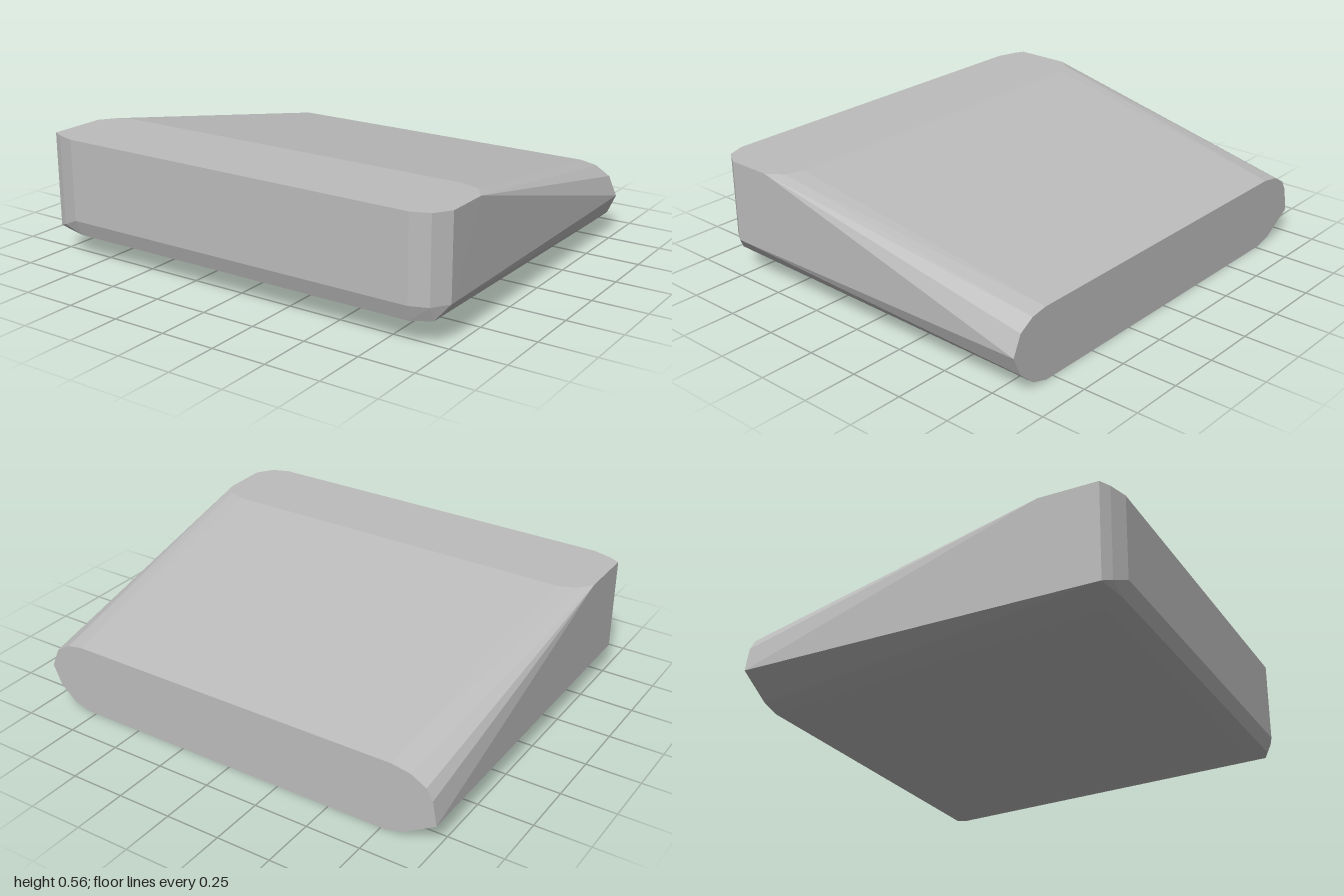
import * as THREE from 'three';
import { ConvexGeometry } from 'three/addons/geometries/ConvexGeometry.js';

const TOP = 0.555, FRONT = 0.845, BACK = -0.845;

export function createModel() {
  const grey = new THREE.MeshStandardMaterial({ color: 0xbcbcbc });
  grey.name = 'plainGrey';

  // Flat top outline, as [x, z]
  const topOutline = [
    [-1, 0.795], [-0.95, 0.82], [-0.86, FRONT], [0.87, FRONT], [0.95, 0.815], [1, 0.74],
    [1, 0.53], [0.95, 0.46], [0.87, 0.43], [-0.87, 0.43], [-0.95, 0.46], [-1, 0.53],
  ];

  // Rounded back end, as [x, y]
  const backOutline = [
    [-0.79, 0.325], [-0.88, 0.31], [-0.95, 0.27], [-0.98, 0.22], [-1, 0.11], [-0.85, 0.02], [-0.77, 0],
    [0.79, 0], [0.87, 0.025], [0.945, 0.09], [0.985, 0.18], [0.945, 0.27], [0.875, 0.312], [0.8, 0.325],
  ];

  // Bevelled lower front edge, as [x, y, z]
  const lowerFront = [
    [-1, 0.12, 0.795], [-0.95, 0.14, 0.82], [-0.86, 0.18, FRONT],
    [0.87, 0.18, FRONT], [0.95, 0.18, 0.815], [1, 0.18, 0.74],
    [-0.85, 0.108, 0.82], [0.86, 0.108, 0.82], [0.95, 0.115, 0.785],
    [-0.84, 0.09, 0.74], [0.85, 0.09, 0.74],
  ];

  const points = [
    ...topOutline.map(([x, z]) => new THREE.Vector3(x, TOP, z)),
    ...backOutline.map(([x, y]) => new THREE.Vector3(x, y, BACK)),
    ...lowerFront.map((p) => new THREE.Vector3(...p)),
  ];

  // One faceted wedge wrapped around the three outlines
  const body = new THREE.Mesh(new ConvexGeometry(points), grey);
  body.name = 'wedgeBody';

  const model = new THREE.Group();
  model.name = 'bevelledWedge';
  model.add(body);
  return model;
}
